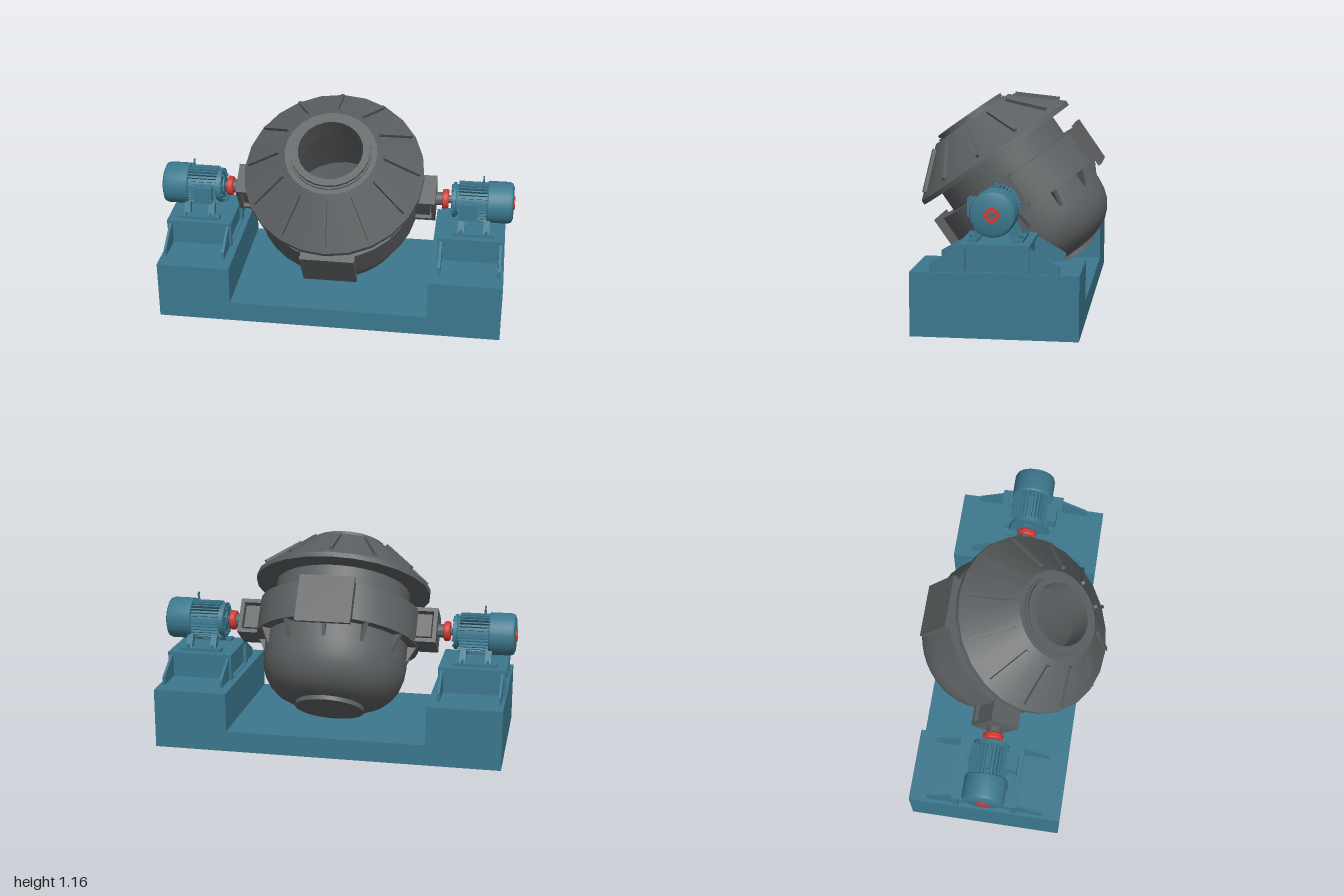
import * as THREE from 'three';
import { toCreasedNormals } from 'three/addons/utils/BufferGeometryUtils.js';

const mat = (name, color) => {
  const m = new THREE.MeshStandardMaterial({ color });
  m.name = name;
  return m;
};

export function createModel() {
  const steel = mat('dark steel', 0x5d6062);
  const teal = mat('teal paint', 0x3c788e);
  const red = mat('red coupling', 0xd23a32);
  const model = new THREE.Group();
  model.name = 'tiltingVessel';

  const add = (parent, name, geo, material, x = 0, y = 0, z = 0) => {
    const m = new THREE.Mesh(geo, material);
    m.name = name;
    m.position.set(x, y, z);
    parent.add(m);
    return m;
  };
  const group = (parent, name, x = 0, y = 0, z = 0) => {
    const g = new THREE.Group();
    g.name = name;
    g.position.set(x, y, z);
    parent.add(g);
    return g;
  };
  const box = (w, h, d) => new THREE.BoxGeometry(w, h, d);
  const lathe = (pts, n = 24) =>
    toCreasedNormals(new THREE.LatheGeometry(pts.map(p => new THREE.Vector2(p[0], p[1])), n), 0.5);
  const outline = pts => new THREE.Shape(pts.map(p => new THREE.Vector2(p[0], p[1])));
  // plate drawn in (z, y), centred on its thickness along x
  const sidePlate = (shape, t) =>
    new THREE.ExtrudeGeometry(shape, { depth: t, bevelEnabled: false }).translate(0, 0, -t / 2).rotateY(-Math.PI / 2);

  // ---- base: U-shaped block ----
  const u = outline([[-0.96, 0], [0.96, 0], [0.96, 0.332], [0.552, 0.332], [0.552, 0.115],
    [-0.552, 0.115], [-0.552, 0.332], [-0.96, 0.332]]);
  add(model, 'base', new THREE.ExtrudeGeometry(u, { depth: 0.855, bevelEnabled: false }), teal, 0, 0, -0.435);

  // ---- tilted vessel ----
  const vessel = group(model, 'vessel', 0, 0.635, -0.005);
  vessel.rotation.x = THREE.MathUtils.degToRad(35);
  add(vessel, 'lowerBody', lathe([[0, -0.492], [0.19, -0.492], [0.19, -0.468], [0.235, -0.458], [0.3, -0.428],
    [0.345, -0.387], [0.375, -0.34], [0.393, -0.285], [0.4, -0.22], [0.4, -0.1], [0.38, -0.1], [0.38, 0.22]], 40), steel);
  add(vessel, 'cone', lathe([[0.375, 0.213], [0.497, 0.213], [0.497, 0.24], [0.25, 0.455], [0.222, 0.455],
    [0.222, 0.464], [0.205, 0.464], [0.205, 0.47], [0.214, 0.47], [0.214, 0.486], [0.175, 0.486],
    [0.175, 0.35], [0.32, 0.2], [0.33, -0.25], [0.22, -0.38], [0, -0.4]]), steel);
  add(vessel, 'trunnionRing', lathe([[0.39, -0.11], [0.456, -0.11], [0.456, 0.09], [0.375, 0.09]], 32), steel);

  const slope = Math.atan2(0.247, 0.215);
  for (let i = 0; i < 12; i++) {
    const spoke = group(vessel, 'spoke' + i);
    spoke.rotation.y = i * Math.PI / 6;
    // raised rib on the cone
    const rib = add(spoke, 'coneRib', box(0.026, 0.25, 0.018), steel, 0.377, 0.351, 0);
    rib.rotation.z = slope;
    // triangular gusset under the ring
    const g = outline([[0.385, -0.11], [0.385, -0.2], [0.4, -0.2], [0.448, -0.11]]);
    add(spoke, 'ringGusset', new THREE.ExtrudeGeometry(g, { depth: 0.02, bevelEnabled: false }), steel, 0, 0, -0.01);
  }

  // front and back ring blocks with wider cover plates
  for (const s of [1, -1]) {
    add(vessel, 'ringBlock', box(0.3, 0.2, 0.08), steel, 0, -0.01, s * 0.425);
    add(vessel, 'ringPlate', box(0.3, 0.262, 0.02), steel, 0, -0.02, s * 0.47);
  }
  // trunnion brackets: core block, end plate and flanges
  for (const s of [1, -1]) {
    add(vessel, 'trunnionBlock', box(0.11, 0.13, 0.15), steel, s * 0.475, 0, 0);
    add(vessel, 'trunnionPlate', box(0.022, 0.2, 0.18), steel, s * 0.55, 0, 0);
    for (const k of [1, -1]) {
      add(vessel, 'trunnionFlange', box(0.13, 0.022, 0.18), steel, s * 0.495, k * 0.089, 0);
    }
  }

  // ---- drives, one per side ----
  for (const s of [1, -1]) {
    const side = s > 0 ? 'left' : 'right';
    const drive = group(model, side + 'Drive', 0, 0.635, -0.005);
    const turned = (name, pts, material, n = 32) =>
      add(drive, name, lathe(pts, n).rotateZ(-s * Math.PI / 2), material);

    turned('shaft', [[0, 0.555], [0.037, 0.555], [0.037, 0.598], [0.022, 0.6], [0.022, 0.65], [0, 0.65]], steel);
    turned('coupling', [[0.02, 0.596], [0.05, 0.596], [0.055, 0.602], [0.055, 0.624], [0.05, 0.63], [0.02, 0.63]], red);
    turned('motorBody', [[0, 0.645], [0.05, 0.645], [0.05, 0.655], [0.098, 0.655], [0.098, 0.672], [0.086, 0.674],
      [0.09, 0.69], [0.09, 0.846], [0.113, 0.846], [0.117, 0.852], [0.117, 0.965], [0.11, 0.983],
      [0.088, 0.992], [0, 0.992]], teal);
    turned('endRing', [[0.018, 0.991], [0.037, 0.991], [0.037, 0.999], [0.018, 0.999], [0.018, 0.991]], red);
    turned('endHub', [[0, 0.991], [0.011, 0.991], [0.011, 0.997], [0, 0.997]], steel);

    // cooling fins
    for (let i = 0; i < 32; i++) {
      const fin = group(drive, 'fin' + i);
      fin.rotation.x = i * Math.PI / 16;
      add(fin, 'finBlade', box(0.16, 0.022, 0.006), teal, s * 0.765, 0.097, 0);
    }
    // flange bolts
    for (let i = 0; i < 8; i++) {
      const a = (i + 0.5) * Math.PI / 4;
      add(drive, 'flangeBolt', new THREE.CylinderGeometry(0.008, 0.008, 0.012, 6).rotateZ(Math.PI / 2), teal,
        s * 0.65, 0.078 * Math.cos(a), 0.078 * Math.sin(a));
    }
    // terminal box
    add(drive, 'terminalBox', box(0.095, 0.085, 0.06), teal, s * 0.745, 0, 0.118);
    add(drive, 'terminalLid', box(0.105, 0.095, 0.012), teal, s * 0.745, 0, 0.15);
    // lifting eye
    add(drive, 'eyeStem', new THREE.CylinderGeometry(0.006, 0.009, 0.03, 10), teal, s * 0.82, 0.115, 0);
    add(drive, 'liftingEye', new THREE.TorusGeometry(0.012, 0.004, 8, 16).rotateY(Math.PI / 2), teal, s * 0.82, 0.142, 0);

    // motor feet
    for (const k of [1, -1]) {
      for (const x of [0.71, 0.85]) {
        const leg = outline([[k * 0.045, -0.08], [k * 0.08, -0.06], [k * 0.125, -0.15], [k * 0.085, -0.15]]);
        add(drive, 'motorLeg', sidePlate(leg, 0.035), teal, s * x, 0, 0);
        add(drive, 'footBolt', new THREE.CylinderGeometry(0.008, 0.008, 0.02, 6), teal, s * x, -0.132, k * 0.13);
      }
      add(drive, 'footRail', box(0.24, 0.016, 0.055), teal, s * 0.78, -0.148, k * 0.115);
    }

    // pedestal with recessed side panels
    const stand = group(model, side + 'Pedestal', s * 0.77, 0, -0.008);
    add(stand, 'pedestalCore', box(0.33, 0.14, 0.33), teal, 0, 0.4, 0);
    add(stand, 'pedestalTop', box(0.37, 0.02, 0.36), teal, 0, 0.468, 0);
    const frame = outline([[-0.178, 0.33], [0.178, 0.33], [0.178, 0.47], [-0.178, 0.47]]);
    frame.holes.push(outline([[-0.145, 0.337], [-0.145, 0.455], [0.145, 0.455], [0.145, 0.337]]));
    for (const k of [1, -1]) {
      add(stand, 'pedestalFrame', sidePlate(frame, 0.02), teal, k * 0.174, 0, 0);
      // sloping gussets front and back
      for (const f of [1, -1]) {
        const gusset = outline([[f * 0.165, 0.33], [f * 0.328, 0.33], [f * 0.328, 0.376], [f * 0.178, 0.462], [f * 0.165, 0.462]]);
        add(stand, 'pedestalGusset', sidePlate(gusset, 0.014), teal, k * 0.165, 0, 0);
      }
    }
  }
  return model;
}
